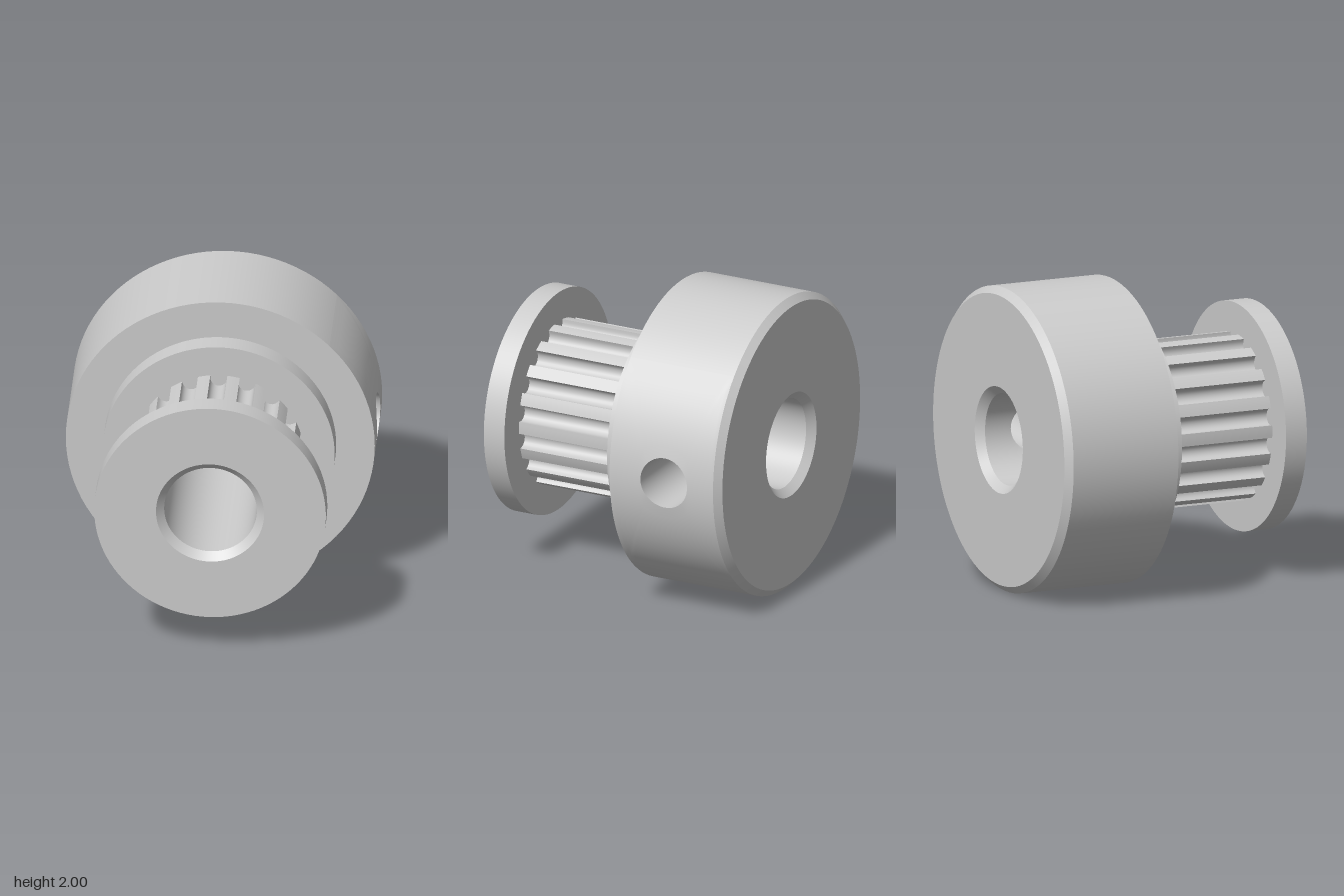
import * as THREE from 'three';
import { mergeVertices, mergeGeometries, toCreasedNormals } from 'three/addons/utils/BufferGeometryUtils.js';

const material = new THREE.MeshStandardMaterial({ color: 0xcccccc });
const SEGMENTS = 96, SIDE = SEGMENTS / 4;
const BORE = 0.3, HUB = 1, HOLE_RADIUS = 0.17, HOLE_AT = -0.52;
const HOLE_ANGLES = [0, Math.PI / 2]; // underside and left side

function addMesh(parent, name, geometry) {
  const mesh = new THREE.Mesh(geometry, material);
  mesh.name = name;
  parent.add(mesh);
}

// Revolve each profile segment separately so the edges between them stay sharp
function turned(profile, start = 0, sweep = Math.PI * 2) {
  const parts = [];
  for (let i = 0; i + 1 < profile.length; i++) {
    const ends = [profile[i], profile[i + 1]].map(([r, h]) => new THREE.Vector2(r, h));
    parts.push(new THREE.LatheGeometry(ends, Math.round(SEGMENTS * sweep / (Math.PI * 2)), start, sweep));
  }
  return mergeGeometries(parts);
}

// Surface from rows of points, fn(row, column) -> [radius, angle, height]
function grid(rows, columns, fn, flip = false) {
  const positions = [], index = [];
  for (let i = 0; i <= rows; i++) {
    for (let j = 0; j <= columns; j++) {
      const [r, angle, h] = fn(i, j);
      positions.push(r * Math.sin(angle), h, r * Math.cos(angle));
      if (i === rows || j === columns) continue;
      const a = i * (columns + 1) + j, b = a + columns + 1;
      if (flip) index.push(a, b + 1, b, a, a + 1, b + 1);
      else index.push(a, b, b + 1, a, b + 1, a + 1);
    }
  }
  let geometry = new THREE.BufferGeometry();
  geometry.setAttribute('position', new THREE.Float32BufferAttribute(positions, 3));
  geometry.setIndex(index);
  geometry = mergeVertices(geometry);
  geometry.computeVertexNormals();
  return geometry;
}

// Walk counter-clockwise round the square from -1 to 1
function squarePoint(j) {
  const side = Math.floor(j / SIDE) % 4, f = (j % SIDE) / SIDE * 2 - 1;
  return [[1, f], [-f, 1], [-1, -f], [f, -1]][side];
}

// Rim of a screw hole where it meets a cylinder of the given radius
function holeRim(radius, j) {
  const [p, q] = squarePoint(j), t = Math.atan2(q, p);
  return [Math.asin(HOLE_RADIUS * Math.cos(t) / radius), HOLE_AT + HOLE_RADIUS * Math.sin(t)];
}

// Quarter of a cylinder wall with a round hole through its middle
function holedQuarter(radius, low, high, angle, flip) {
  const rings = 8;
  return grid(rings, SIDE * 4, (i, j) => {
    const [p, q] = squarePoint(j), [s, h] = holeRim(radius, j), f = i / rings;
    const edgeH = (low + high) / 2 + q * (high - low) / 2;
    return [radius, angle + THREE.MathUtils.lerp(s, p * Math.PI / 4, f), THREE.MathUtils.lerp(h, edgeH, f)];
  }, flip);
}

// Toothed belt track: flat lands with round-bottomed grooves, side walls only
function toothedTrack(from, to) {
  const teeth = 18, outer = 0.55, root = 0.475, r = 0.055, points = [];
  const pitch = Math.PI * 2 / teeth, lip = Math.asin(r / outer);
  for (let i = 0; i < teeth; i++) {
    const land = i * pitch, groove = land + pitch / 2, half = pitch / 2 - lip;
    for (let k = 0; k <= 4; k++) {
      const a = land + half * (k / 2 - 1);
      points.push(new THREE.Vector2(outer * Math.cos(a), outer * Math.sin(a)));
    }
    for (let k = 0; k <= 12; k++) {
      const a = Math.PI * k / 12;
      const local = new THREE.Vector2(root + r - r * Math.sin(a), -r * Math.cos(a));
      points.push(local.rotateAround(new THREE.Vector2(), groove));
    }
  }
  const solid = new THREE.ExtrudeGeometry(new THREE.Shape(points), { depth: to - from, bevelEnabled: false });
  const { start, count } = solid.groups[1];
  const walls = new THREE.BufferGeometry();
  const data = solid.attributes.position.array.slice(start * 3, (start + count) * 3);
  walls.setAttribute('position', new THREE.BufferAttribute(data, 3));
  walls.translate(0, 0, from);
  return toCreasedNormals(walls, 0.6);
}

export function createModel() {
  const model = new THREE.Group();
  model.name = 'timingPulley';
  const axle = new THREE.Group(); // turned parts, axis along z
  axle.name = 'turnedBody';
  axle.rotation.x = Math.PI / 2;
  axle.position.y = 1;
  model.add(axle);

  addMesh(axle, 'hubBackFace', turned([[0.3, -0.875], [0.35, -0.925], [0.955, -0.925], [1, -0.88]]));
  addMesh(axle, 'rearFlange', turned([[1, -0.125], [0.75, -0.125], [0.75, 0.025], [0.47, 0.025]]));
  addMesh(axle, 'frontFlange', turned([[0.47, 0.775], [0.75, 0.775], [0.75, 0.925], [0.35, 0.925], [0.3, 0.875]]));
  addMesh(axle, 'frontBore', turned([[BORE, 0.875], [BORE, -0.125]]));

  // Undrilled halves of the hub wall and rear bore
  addMesh(axle, 'hubWall', turned([[HUB, -0.88], [HUB, -0.125]], Math.PI * 0.75, Math.PI));
  addMesh(axle, 'rearBore', turned([[BORE, -0.125], [BORE, -0.875]], Math.PI * 0.75, Math.PI));

  // Drilled quarters and the set screw holes joining them
  for (const angle of HOLE_ANGLES) {
    addMesh(axle, 'drilledHubWall', holedQuarter(HUB, -0.88, -0.125, angle, false));
    addMesh(axle, 'drilledBore', holedQuarter(BORE, -0.875, -0.125, angle, true));
    addMesh(axle, 'setScrewHole', grid(1, SIDE * 4, (i, j) => {
      const radius = i ? HUB : BORE, [s, h] = holeRim(radius, j);
      return [radius, angle + s, h];
    }));
  }

  const track = toothedTrack(0.025, 0.775);
  track.translate(0, 1, 0);
  addMesh(model, 'beltTeeth', track);
  return model;
}
